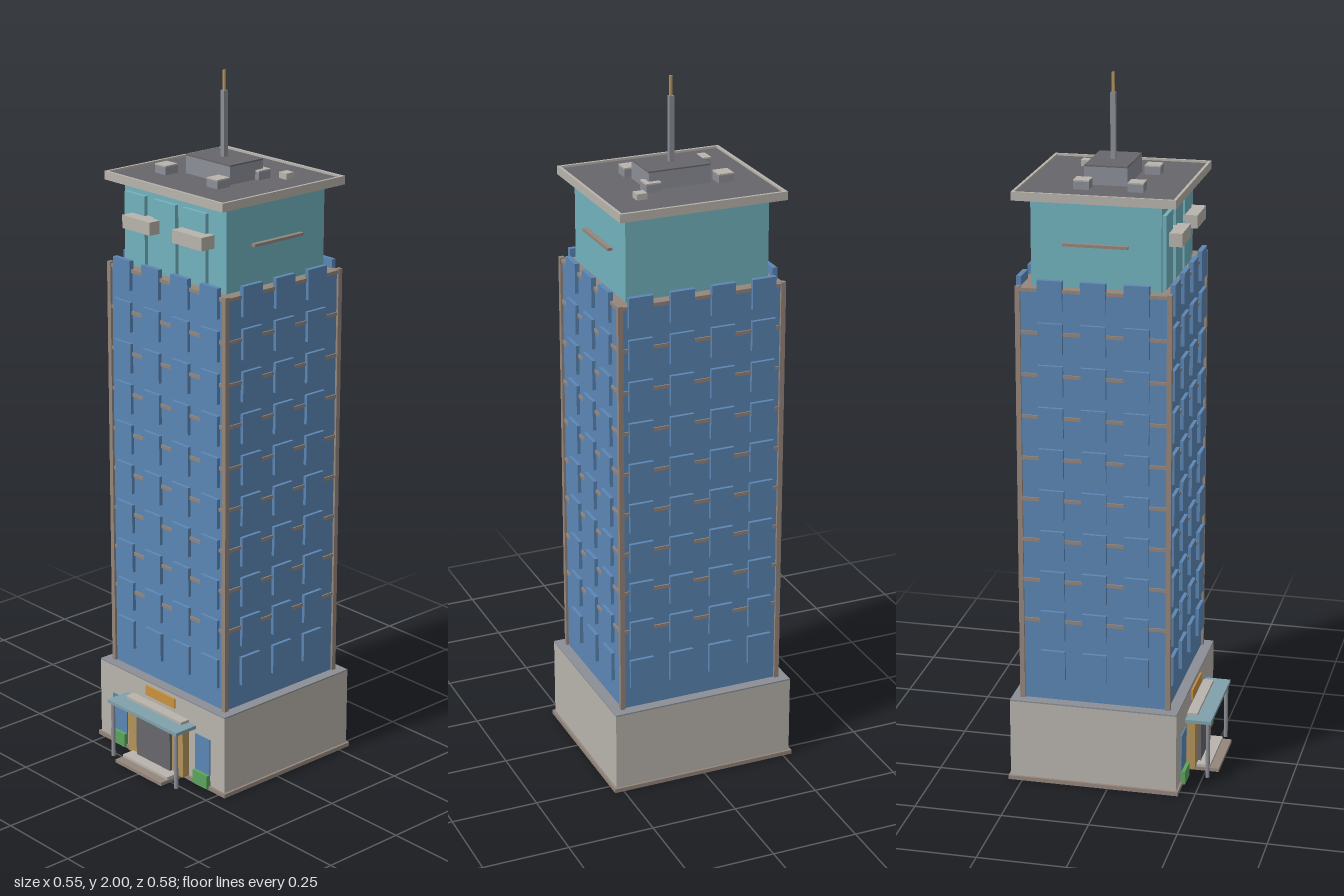
import * as THREE from 'three';

const mat = (name, color) => {
  const m = new THREE.MeshStandardMaterial({ color });
  m.name = name;
  return m;
};

export function createModel() {
  const model = new THREE.Group();
  model.name = 'officeTower';

  const stone = mat('stone', 0xb8b3ac);
  const trim = mat('brown trim', 0x94867b);
  const blue = mat('blue glass', 0x5b86b4);
  const teal = mat('teal glass', 0x72b2be);
  const metal = mat('grey metal', 0x8c8e97);
  const dark = mat('dark grey', 0x67666b);
  const gold = mat('gold', 0xb2935a);
  const amber = mat('amber', 0xc8923f);
  const green = mat('green', 0x5ba55c);
  const canopyGlass = mat('canopy glass', 0x80a1aa);

  // Box given by its limits on each axis
  function box(name, material, x0, x1, y0, y1, z0, z1, parent = model) {
    const mesh = new THREE.Mesh(new THREE.BoxGeometry(x1 - x0, y1 - y0, z1 - z0), material);
    mesh.position.set((x0 + x1) / 2, (y0 + y1) / 2, (z0 + z1) / 2);
    mesh.name = name;
    parent.add(mesh);
    return mesh;
  }
  const C = -0.043; // depth of the tower's axis
  // Box centred on the tower's axis, by half sizes
  const centred = (name, material, hx, hz, y0, y1) =>
    box(name, material, -hx, hx, y0, y1, C - hz, C + hz);

  // Podium
  centred('plinth', trim, 0.277, 0.247, 0, 0.012);
  centred('podium', stone, 0.27, 0.241, 0.012, 0.242);
  centred('podiumRoof', metal, 0.27, 0.241, 0.242, 0.246);

  // Shaft with floor bands and corner posts
  centred('shaft', blue, 0.238, 0.21, 0.246, 1.45);
  for (let i = 2; i <= 10; i++) {
    const y = 0.245 + i * 0.12;
    centred('floorBand', trim, 0.242, 0.214, y - 0.004, y + 0.006);
  }
  for (const sx of [-1, 1]) for (const sz of [-1, 1]) {
    const x = sx * 0.238, z = C + sz * 0.21;
    box('cornerPost', trim, x - 0.007, x + 0.007, 0.246, 1.455, z - 0.007, z + 0.007);
  }

  // Window bays on all four sides
  const windows = new THREE.Group();
  windows.name = 'windows';
  model.add(windows);
  const W = 0.035;
  for (let row = 0; row < 10; row++) {
    const y0 = 0.31 + row * 0.12, y1 = y0 + 0.086;
    for (const s of [-1, 1]) {
      for (const x of [-0.18, -0.06, 0.06, 0.18]) {
        const z = C + s * 0.213;
        box('window', blue, x - W, x + W, y0, y1, z - 0.007, z + 0.007, windows);
      }
      for (const dz of [-0.12, 0, 0.12]) {
        const x = s * 0.241;
        box('sideWindow', blue, x - 0.007, x + 0.007, y0, y1, C + dz - W, C + dz + W, windows);
      }
    }
  }

  // Set-back crown with glass bays and balconies
  centred('crown', teal, 0.208, 0.18, 1.45, 1.69);
  for (const [x0, x1] of [[-0.197, -0.113], [-0.075, 0.014], [0.042, 0.136]]) {
    box('crownBay', teal, x0, x1, 1.455, 1.66, 0.13, 0.148);
  }
  for (const [x0, x1] of [[-0.165, -0.05], [0.042, 0.16]]) {
    box('balcony', stone, x0, x1, 1.568, 1.605, 0.137, 0.184);
  }
  for (const s of [-1, 1]) {
    const x = s * 0.214;
    box('crownRail', trim, x - 0.008, x + 0.008, 1.567, 1.575, C - 0.09, C + 0.09);
  }

  // Roof slab with a raised rim
  const hx = 0.241, hz = 0.225, r = 0.008;
  centred('roof', dark, hx - r, hz - r, 1.69, 1.708);
  for (const s of [-1, 1]) {
    const x = s * (hx - r / 2), z = C + s * (hz - r / 2);
    box('roofRimSide', stone, x - r / 2, x + r / 2, 1.69, 1.714, C - hz, C + hz);
    box('roofRim', stone, -hx + r, hx - r, 1.69, 1.714, z - r / 2, z + r / 2);
  }

  // Plant room, vents and mast
  centred('plantRoom', metal, 0.09, 0.06, 1.708, 1.758);
  centred('plantRoomRoof', dark, 0.09, 0.06, 1.758, 1.762);
  for (const x of [-0.13, 0.082]) for (const z of [-0.097, 0.053]) {
    box('ventUnit', metal, x - 0.022, x + 0.022, 1.708, 1.73, z - 0.022, z + 0.022);
    box('ventCap', stone, x - 0.022, x + 0.022, 1.73, 1.734, z - 0.022, z + 0.022);
  }
  box('smallVent', stone, 0.12, 0.15, 1.708, 1.725, -0.164, -0.135);
  centred('mast', metal, 0.007, 0.007, 1.762, 1.945);
  centred('mastTip', gold, 0.0035, 0.0035, 1.945, 2);

  // Entrance: portal, door, canopy, posts and steps
  box('portal', gold, -0.12, 0.12, 0.012, 0.17, 0.195, 0.222);
  box('door', dark, -0.073, 0.073, 0.012, 0.155, 0.2, 0.23);
  box('canopy', canopyGlass, -0.15, 0.15, 0.169, 0.179, 0.198, 0.273);
  box('canopyLedge', stone, -0.12, 0.12, 0.179, 0.187, 0.198, 0.228);
  box('signPlate', amber, -0.063, 0.063, 0.202, 0.232, 0.197, 0.203);
  box('lowerStep', trim, -0.1, 0.1, 0, 0.01, 0.2, 0.288);
  box('upperStep', stone, -0.098, 0.098, 0.01, 0.018, 0.2, 0.262);
  for (const s of [-1, 1]) {
    const post = new THREE.Mesh(new THREE.CylinderGeometry(0.006, 0.006, 0.169, 12), metal);
    post.name = 'canopyPost';
    post.position.set(s * 0.138, 0.0845, 0.263);
    model.add(post);
    const x = s * 0.18;
    box('shopWindow', blue, x - 0.031, x + 0.031, 0.045, 0.156, 0.196, 0.202);
    box('planter', green, x - 0.03, x + 0.03, 0.005, 0.046, 0.196, 0.212);
  }

  return model;
}
